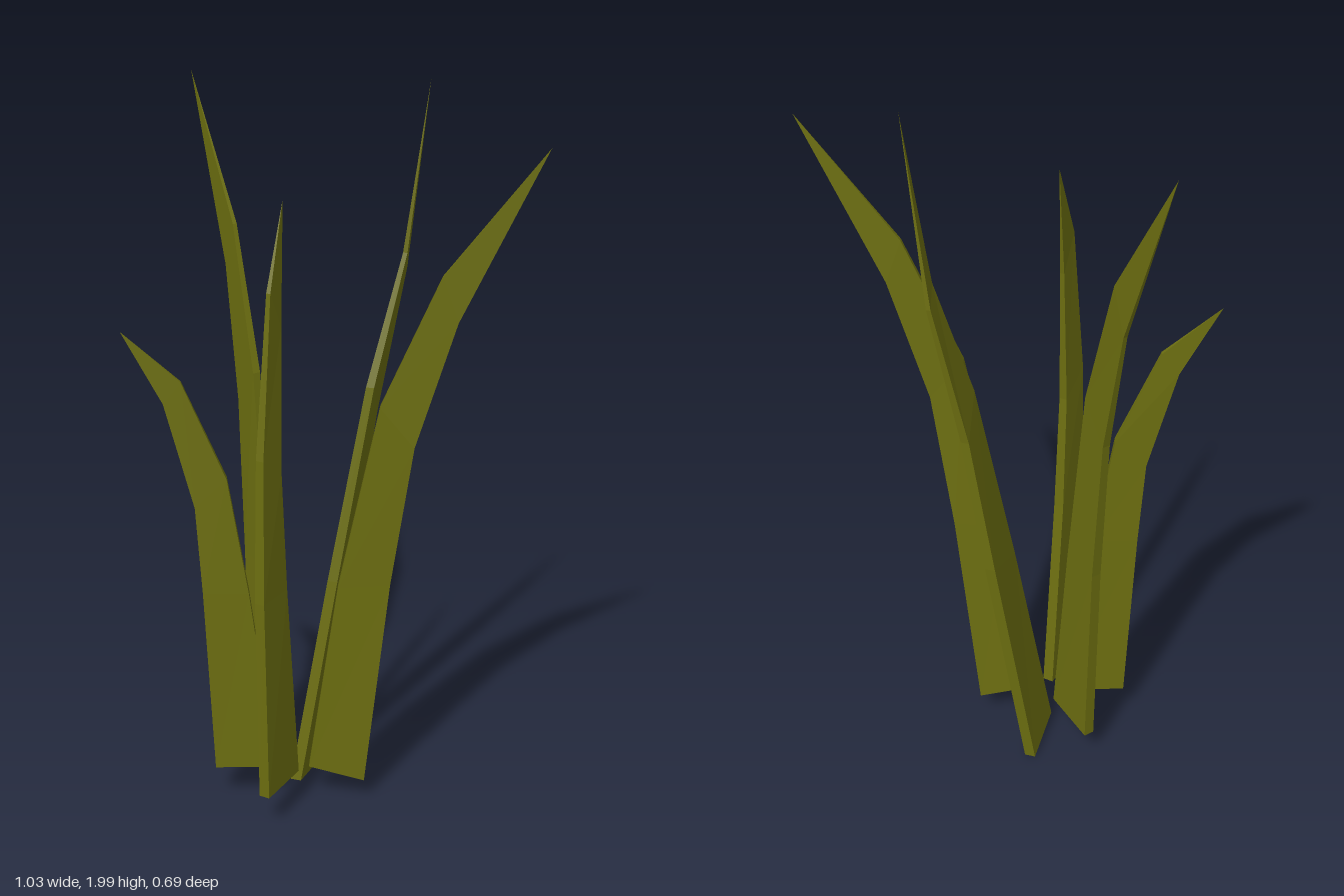
import * as THREE from 'three';

// Each blade: inner and outer edge points from base upward, then a shared tip
const BLADES = [
  { name: 'rightBlade',
    inner: [[0.04, 0.115, 0.003], [0.11, 0.68, -0.035], [0.2, 1.2, -0.092], [0.315, 1.55, -0.19]],
    outer: [[0.155, 0.075, -0.1], [0.212, 0.69, -0.13], [0.265, 1.09, -0.155], [0.345, 1.43, -0.22]],
    tip: [0.515, 1.88, -0.345] },
  { name: 'leftBlade',
    inner: [[-0.047, 0.11, 0.015], [-0.11, 0.67, 0], [-0.175, 1.22, -0.012], [-0.29, 1.6, -0.047]],
    outer: [[-0.203, 0.09, -0.018], [-0.225, 0.68, -0.025], [-0.262, 1.12, -0.038], [-0.335, 1.48, -0.06]],
    tip: [-0.515, 1.97, -0.105] },
  { name: 'frontLeftBlade',
    inner: [[-0.03, 0.11, 0.065], [-0.08, 0.65, 0.115], [-0.12, 0.98, 0.153], [-0.2, 1.25, 0.236]],
    outer: [[-0.148, 0.11, 0.185], [-0.165, 0.65, 0.205], [-0.178, 0.9, 0.216], [-0.235, 1.19, 0.268]],
    tip: [-0.31, 1.385, 0.342] },
  { name: 'frontBlade',
    inner: [[0.025, 0.11, 0.048], [0.045, 0.7, 0.11], [0.055, 1.04, 0.135], [0.052, 1.43, 0.125]],
    outer: [[0.07, 0.11, 0.207], [0.073, 0.7, 0.222], [0.073, 1.1, 0.217], [0.065, 1.53, 0.175]],
    tip: [0.03, 1.745, 0.09] },
  { name: 'backBlade',
    inner: [[-0.013, 0.04, 0.003], [0.038, 0.65, -0.088], [0.082, 1.2, -0.18], [0.1, 1.55, -0.288]],
    outer: [[-0.087, 0.01, -0.14], [-0.025, 0.7, -0.225], [0.025, 1.1, -0.257], [0.068, 1.5, -0.325]],
    tip: [0.135, 2, -0.333] },
];
const HALF_THICKNESS = [0.015, 0.014, 0.011, 0.006];

// Four-sided strip tapering to a point, with a flat base
function bladeGeometry({ inner, outer, tip }) {
  const across = new THREE.Vector3(outer[0][0] - inner[0][0], 0, outer[0][2] - inner[0][2]).normalize();
  const side = across.cross(new THREE.Vector3(0, 1, 0));
  const rings = inner.map((p, i) => {
    const a = new THREE.Vector3(...p), b = new THREE.Vector3(...outer[i]), h = HALF_THICKNESS[i];
    return [
      a.clone().addScaledVector(side, h), b.clone().addScaledVector(side, h),
      b.clone().addScaledVector(side, -h), a.clone().addScaledVector(side, -h),
    ];
  });
  const top = new THREE.Vector3(...tip);
  const pts = [];
  const base = rings[0];
  pts.push(base[0], base[2], base[1], base[0], base[3], base[2]);
  rings.forEach((ring, r) => {
    const next = rings[r + 1];
    for (let i = 0; i < 4; i++) {
      const j = (i + 1) % 4;
      if (next) pts.push(ring[i], ring[j], next[j], ring[i], next[j], next[i]);
      else pts.push(ring[i], ring[j], top);
    }
  });
  const geometry = new THREE.BufferGeometry().setFromPoints(pts);
  geometry.computeVertexNormals();
  return geometry;
}

export function createModel() {
  const group = new THREE.Group();
  group.name = 'grassTuft';
  const olive = new THREE.MeshStandardMaterial({ color: 0x6c6e10 });
  olive.name = 'olive green';
  for (const blade of BLADES) {
    const mesh = new THREE.Mesh(bladeGeometry(blade), olive);
    mesh.name = blade.name;
    group.add(mesh);
  }
  return group;
}
